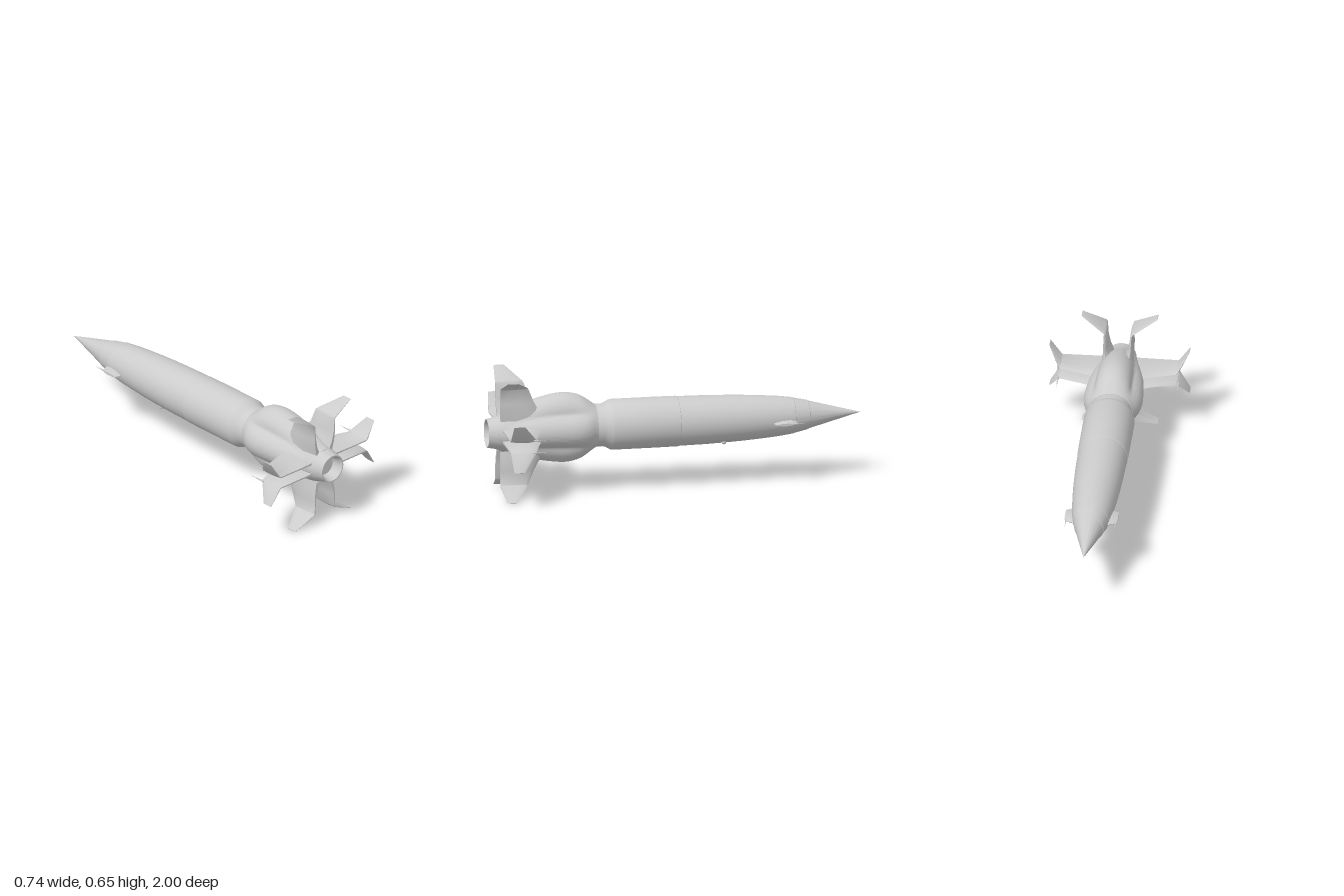
import * as THREE from 'three';
import { toCreasedNormals } from 'three/addons/utils/BufferGeometryUtils.js';

const grey = new THREE.MeshStandardMaterial({ color: 0xcccccc });
const AXIS = 0.35; // height of the hull axis
const REAR = 0.335; // height of the nozzle axis

function add(group, name, geometry) {
  const mesh = new THREE.Mesh(geometry, grey);
  mesh.name = name;
  group.add(mesh);
  return mesh;
}

// Skin closed rings of [x, y, z] points, with end caps, always facing outwards
function loft(rings, crease) {
  const n = rings[0].length, pos = rings.flat(2), idx = [];
  const mid = (r) => [0, 1, 2].map((k) => r.reduce((s, p) => s + p[k], 0) / n);
  const last = rings.length - 1, a = rings.length * n, b = a + 1;
  pos.push(...mid(rings[0]), ...mid(rings[last]));
  for (let j = 0; j < n; j++) {
    const k = (j + 1) % n;
    for (let i = 0; i < last; i++) {
      const p = i * n + j, q = i * n + k;
      idx.push(p, q, q + n, p, q + n, p + n);
    }
    idx.push(a, k, j, b, last * n + j, last * n + k);
  }
  const v = (i) => new THREE.Vector3().fromArray(pos, i * 3);
  let volume = 0;
  for (let i = 0; i < idx.length; i += 3) volume += v(idx[i]).dot(v(idx[i + 1]).cross(v(idx[i + 2])));
  if (volume < 0) idx.reverse();
  const g = new THREE.BufferGeometry();
  g.setAttribute('position', new THREE.Float32BufferAttribute(pos, 3));
  g.setIndex(idx);
  return toCreasedNormals(g, crease);
}

// Turned part along z, from [radius, z] pairs
function turned(points, y) {
  const g = new THREE.LatheGeometry(points.map((p) => new THREE.Vector2(...p)), 64);
  return toCreasedNormals(g.rotateX(Math.PI / 2).translate(0, y, 0), 0.5);
}

// Smooth interpolation of a column in a table keyed by its first column
function sample(rows, z, col) {
  let i = 0;
  while (i < rows.length - 2 && z > rows[i + 1][0]) i++;
  const at = (k) => rows[Math.min(Math.max(k, 0), rows.length - 1)];
  const p0 = at(i - 1), p1 = at(i), p2 = at(i + 1), p3 = at(i + 2);
  const h = p2[0] - p1[0], t = (z - p1[0]) / h;
  const m1 = p2 === p0 ? 0 : (p2[col] - p0[col]) / (p2[0] - p0[0]) * h;
  const m2 = p3 === p1 ? 0 : (p3[col] - p1[col]) / (p3[0] - p1[0]) * h;
  const t2 = t * t, t3 = t2 * t;
  return (2 * t3 - 3 * t2 + 1) * p1[col] + (t3 - 2 * t2 + t) * m1
    + (3 * t2 - 2 * t3) * p2[col] + (t3 - t2) * m2;
}

// Engine housing: four round lobes merged into a cross-shaped section
function engineHousing() {
  // z, vertical reach, sideways reach, lobe radius, centre height
  const rows = [
    [0.42, 0.112, 0.112, 0.110, 0.350], [0.46, 0.142, 0.136, 0.104, 0.350],
    [0.50, 0.168, 0.150, 0.098, 0.349], [0.54, 0.181, 0.155, 0.095, 0.349],
    [0.59, 0.187, 0.154, 0.094, 0.349], [0.66, 0.180, 0.149, 0.092, 0.349],
    [0.74, 0.163, 0.139, 0.088, 0.346], [0.82, 0.138, 0.122, 0.083, 0.341],
    [0.89, 0.110, 0.103, 0.080, 0.337], [0.94, 0.092, 0.090, 0.079, 0.335],
  ];
  const reach = (tip, r, c, s) => {
    const d = Math.max(tip - r, 0), q = r * r - d * d * s * s;
    return q > 0 ? d * Math.abs(c) + Math.sqrt(q) : 0;
  };
  const rings = [];
  for (let i = 0; i <= 48; i++) {
    const z = 0.42 + 0.52 * i / 48;
    const [v, h, r, cy] = [1, 2, 3, 4].map((c) => sample(rows, z, c));
    const ring = [];
    for (let j = 0; j < 96; j++) {
      const a = j / 96 * Math.PI * 2, c = Math.cos(a), s = Math.sin(a);
      const p = reach(h, r, c, s), q = reach(v, r, s, c);
      const blend = Math.max(0.012 - Math.abs(p - q), 0);
      const R = Math.max(p, q) + blend * blend / 0.048;
      ring.push([R * c, cy + R * s, z]);
    }
    rings.push(ring);
  }
  return loft(rings, 0.7);
}

// Bent fin from stations [x, y, thickness, leading z, trailing z]
function fin(stations, sx, sy, cy) {
  const rings = stations.map(([x, y, t, z0, z1], i) => {
    const a = stations[Math.max(i - 1, 0)], b = stations[Math.min(i + 1, stations.length - 1)];
    const dx = b[0] - a[0], dy = b[1] - a[1], len = Math.hypot(dx, dy);
    const section = [[0, 0], [0.08, 0.3], [0.3, 0.5], [0.65, 0.46], [1, 0.16],
      [1, -0.16], [0.65, -0.46], [0.3, -0.5], [0.08, -0.3]];
    return section.map(([u, w]) => [
      sx * (x - dy / len * w * t),
      cy + sy * (y + dx / len * w * t - cy),
      z0 + (z1 - z0) * u,
    ]);
  });
  return loft(rings, 0.6);
}

// Needle pointing forwards (-z) from its base
function needle(x, y, z, length, radius) {
  return new THREE.ConeGeometry(radius, length, 8).rotateX(-Math.PI / 2).translate(x, y, z - length / 2);
}

export function createModel() {
  const model = new THREE.Group();
  model.name = 'rocket';

  // Hull: pointed nose, collar, curved forebody, cylinder and neck
  add(model, 'noseCone', turned([[0, -1], [0.037, -0.86], [0.074, -0.72]], AXIS));
  add(model, 'noseCollar', turned([[0.074, -0.72], [0.077, -0.718], [0.094, -0.64]], AXIS));
  add(model, 'forebody', turned([[0.094, -0.64], [0.096, -0.638], [0.106, -0.56], [0.113, -0.48],
    [0.12, -0.38], [0.125, -0.28], [0.129, -0.16], [0.131, -0.02]], AXIS));
  add(model, 'midBody', turned([[0.131, -0.02], [0.133, -0.018], [0.134, 0.1], [0.134, 0.335], [0.131, 0.345],
    [0.117, 0.37], [0.113, 0.385], [0.112, 0.44]], AXIS));

  // Engine section
  add(model, 'engineHousing', engineHousing());
  add(model, 'nozzle', turned([[0.092, 0.9], [0.09, 0.94], [0.084, 0.96], [0.076, 1], [0.07, 1],
    [0.062, 0.98], [0.055, 0.94], [0, 0.94]], REAR));

  const tallFin = [[0.045, 0.41, 0.07, 0.69, 0.935], [0.06, 0.46, 0.044, 0.73, 0.938],
    [0.068, 0.51, 0.026, 0.76, 0.94], [0.071, 0.585, 0.015, 0.79, 0.94],
    [0.076, 0.592, 0.014, 0.795, 0.94], [0.2, 0.65, 0.003, 0.87, 0.925]];
  const sideFin = [[0.07, 0.366, 0.034, 0.68, 0.93], [0.12, 0.366, 0.03, 0.73, 0.93],
    [0.16, 0.366, 0.025, 0.745, 0.93], [0.305, 0.366, 0.02, 0.79, 0.93],
    [0.314, 0.372, 0.018, 0.795, 0.93], [0.37, 0.46, 0.003, 0.865, 0.922]];

  for (const sx of [1, -1]) {
    const side = sx > 0 ? 'left' : 'right';
    for (const sy of [1, -1]) {
      const name = side + (sy > 0 ? 'Upper' : 'Lower');
      add(model, name + 'TallFin', fin(tallFin, sx, sy, 0.326));
      add(model, name + 'SideFin', fin(sideFin, sx, sy, REAR));
      add(model, name + 'FinNeedle', needle(sx * 0.318, REAR + sy * 0.034, 0.81, 0.11, 0.005));
    }

    // Small forward fin with a needle at its tip
    add(model, side + 'ForwardFin', fin([[0.09, 0.336, 0.032, -0.65, -0.515],
      [0.12, 0.336, 0.026, -0.64, -0.52], [0.14, 0.336, 0.014, -0.62, -0.53]], sx, 1, AXIS));
    add(model, side + 'ForwardNeedle', needle(sx * 0.131, 0.336, -0.6, 0.095, 0.006));

    // Belly stud
    add(model, side + 'BellyStud', new THREE.SphereGeometry(0.012, 16, 10).translate(sx * 0.057, 0.238, -0.26));
  }
  return model;
}
